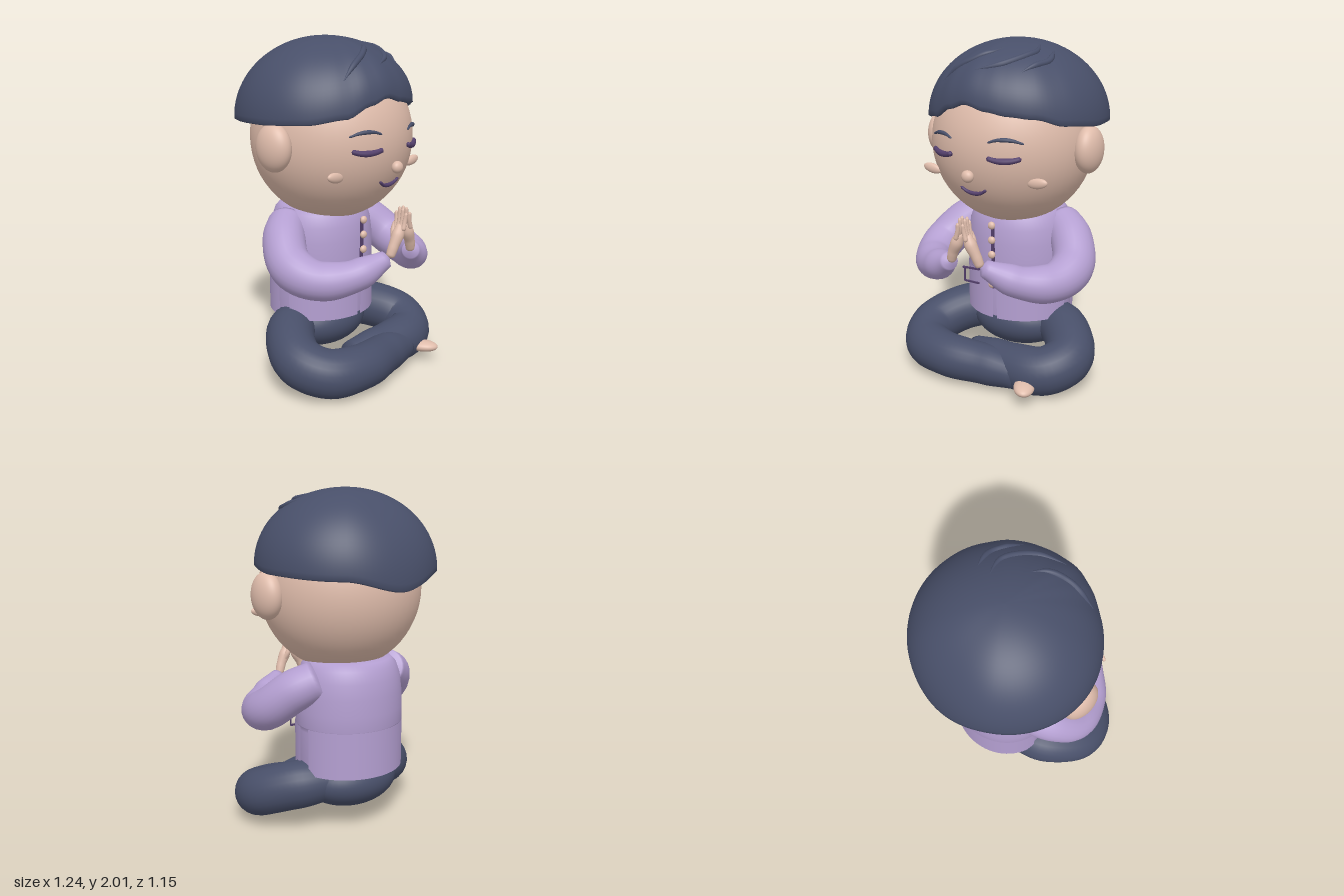
import * as THREE from 'three';
import { mergeVertices } from 'three/addons/utils/BufferGeometryUtils.js';

const mat = (name, color, side = THREE.FrontSide) => {
  const m = new THREE.MeshStandardMaterial({ color, side });
  m.name = name;
  return m;
};

// Piecewise smooth interpolation through [key, value] pairs
function ease(keys, k) {
  let i = 0;
  while (i < keys.length - 2 && k > keys[i + 1][0]) i++;
  const [a, va] = keys[i], [b, vb] = keys[i + 1];
  return THREE.MathUtils.lerp(va, vb, THREE.MathUtils.smoothstep(k, a, b));
}

// Rounded-end tube through points, radius following a list of values
function limb(points, radii, { segs = 48, sides = 24, cap = 0.05 } = {}) {
  const curve = new THREE.CatmullRomCurve3(points.map(p => new THREE.Vector3(...p)));
  const geo = new THREE.TubeGeometry(curve, segs, 1, sides);
  const keys = radii.map((r, i) => [i / (radii.length - 1), r]);
  const pos = geo.attributes.position, v = new THREE.Vector3();
  for (let i = 0; i <= segs; i++) {
    const t = i / segs, c = curve.getPointAt(t);
    const end = Math.min(1, Math.min(t, 1 - t) / cap);
    const r = ease(keys, t) * Math.max(0.01, Math.sqrt(1 - (1 - end) ** 2));
    for (let j = 0; j <= sides; j++) {
      const k = i * (sides + 1) + j;
      v.fromBufferAttribute(pos, k).sub(c).multiplyScalar(r).add(c);
      pos.setXYZ(k, v.x, v.y, v.z);
    }
  }
  geo.deleteAttribute('uv');
  geo.deleteAttribute('normal');
  const merged = mergeVertices(geo, 1e-5);
  merged.computeVertexNormals();
  return merged;
}

// Hair cap: each direction is a quarter ellipse from the crown to a wavy hairline
const HAIR_Z = -0.055, HAIR_TOP = 2;
const HAIRLINE = [[-180, 1.46], [-140, 1.53], [-90, 1.54], [-60, 1.55], [-35, 1.58], [-18, 1.645], [-5, 1.68],
  [10, 1.65], [24, 1.63], [40, 1.615], [60, 1.57], [90, 1.545], [140, 1.53], [180, 1.46]];
const hairRadius = a => 1 / Math.hypot(Math.sin(a) / 0.54, Math.cos(a) / (Math.cos(a) > 0 ? 0.51 : 0.52));
const hairRim = a => ease(HAIRLINE, THREE.MathUtils.radToDeg(a));

function hairHeight(x, z) {
  const a = Math.atan2(x, z - HAIR_Z), q = Math.hypot(x, z - HAIR_Z) / hairRadius(a);
  return HAIR_TOP - (HAIR_TOP - hairRim(a)) * (1 - Math.sqrt(1 - q * q));
}

function hairGeometry() {
  const cols = 96, rows = 24, pos = [], index = [];
  for (let i = 0; i <= rows + 2; i++) {
    for (let j = 0; j < cols; j++) {
      const a = -Math.PI + (j / cols) * 2 * Math.PI;
      const t = Math.min(i / rows, 1) * Math.PI / 2, rim = hairRim(a);
      const lip = Math.max(0, i - rows);
      const r = hairRadius(a) * Math.sin(t) * [1, 0.975, 0.8][lip];
      const y = rim + (HAIR_TOP - rim) * Math.cos(t) + [0, -0.008, 0.03][lip];
      pos.push(r * Math.sin(a), y, HAIR_Z + r * Math.cos(a));
      if (i < rows + 2) {
        const n = (j + 1) % cols, p = i * cols, q = p + cols;
        index.push(p + j, q + j, q + n, p + j, q + n, p + n);
      }
    }
  }
  const geo = new THREE.BufferGeometry();
  geo.setAttribute('position', new THREE.Float32BufferAttribute(pos, 3));
  geo.setIndex(index);
  geo.computeVertexNormals();
  return geo;
}

export function createModel() {
  const model = new THREE.Group();
  model.name = 'meditatingFigure';
  const skin = mat('skin', 0xdfbcab);
  const navy = mat('navy', 0x484f69, THREE.DoubleSide);
  const lilac = mat('lilac', 0xb49fd1, THREE.DoubleSide);
  const plum = mat('plum', 0x54406c);

  const add = (name, geo, material, p = [0, 0, 0], s = [1, 1, 1]) => {
    const m = new THREE.Mesh(geo, material);
    m.name = name;
    m.position.set(...p);
    m.scale.set(...s);
    model.add(m);
    return m;
  };
  const ball = new THREE.SphereGeometry(1, 48, 32);
  const box = new THREE.BoxGeometry(1, 1, 1);

  // Head and hair
  add('head', ball, skin, [0, 1.42, 0], [0.48, 0.49, 0.48]);
  add('nose', ball, skin, [0, 1.29, 0.488], [0.037, 0.035, 0.03]);
  add('hair', hairGeometry(), navy);
  const strands = [
    [[0.17, 0], [0.21, 0.13], [0.12, 0.29], [-0.03, 0.375]],
    [[0.26, 0], [0.295, 0.11], [0.27, 0.2], [0.22, 0.3]],
    [[0.05, 0.16], [0.0, 0.24], [-0.11, 0.3], [-0.27, 0.32]],
  ];
  for (const path of strands) {
    const flat = new THREE.SplineCurve(path.map(p => new THREE.Vector2(...p))).getPoints(10);
    add('hairStrand', limb(flat.map(p => [p.x, hairHeight(p.x, p.y) - 0.004, p.y]),
      [0.004, 0.018, 0.018, 0.004], { sides: 12 }), navy);
  }

  // Face lines follow the head surface
  const faceZ = (x, y) => 0.48 * Math.sqrt(1 - (x / 0.48) ** 2 - ((y - 1.42) / 0.49) ** 2) + 0.007;
  const faceLine = (name, pts, radii, m) =>
    add(name, limb(pts.map(([x, y]) => [x, y, faceZ(x, y)]), radii, { segs: 24, sides: 10 }), m);
  faceLine('mouth', [[-0.085, 1.212], [-0.045, 1.187], [0, 1.18], [0.045, 1.187], [0.085, 1.212]],
    [0.008, 0.012, 0.008], plum);

  for (const s of [1, -1]) {
    const mir = pts => pts.map(([x, ...rest]) => [x * s, ...rest]);
    faceLine('closedEye', mir([[0.112, 1.403], [0.155, 1.391], [0.2, 1.387], [0.245, 1.391], [0.285, 1.403]]),
      [0.014, 0.018, 0.014], plum);
    faceLine('eyebrow', mir([[0.115, 1.485], [0.16, 1.5], [0.21, 1.503], [0.25, 1.497], [0.295, 1.48]]),
      [0.006, 0.012, 0.006], navy);
    add('ear', ball, skin, [0.5 * s, 1.41, 0.02], [0.077, 0.136, 0.117]);
    add('cheek', ball, skin, [0.35 * s, 1.262, 0.335], [0.062, 0.029, 0.02]).rotation.z = 0.17 * s;

    // Sleeve
    add('sleeve', limb(mir([[0.24, 0.925, -0.13], [0.37, 0.85, -0.04], [0.45, 0.735, 0.09], [0.42, 0.68, 0.25],
      [0.29, 0.7, 0.4], [0.1, 0.795, 0.52]]), [0.115, 0.125, 0.125, 0.11, 0.09, 0.05], { cap: 0.03 }), lilac);

    // Hand pressed to its mirror at the centre
    add('palm', limb(mir([[0.1, 0.79, 0.52], [0.075, 0.86, 0.53], [0.045, 0.92, 0.535], [0.022, 0.98, 0.535]]),
      [0.026, 0.03, 0.036, 0.022], { segs: 24, sides: 16, cap: 0.1 }), skin);
    for (let i = 0; i < 4; i++) {
      const z = 0.506 + i * 0.019, top = [1.05, 1.075, 1.07, 1.045][i];
      add('finger', limb(mir([[0.036, 0.94, z], [0.02, 1.0, z], [0.016, top, z + (i - 1.5) * 0.004]]),
        [0.014, 0.013, 0.01], { segs: 16, sides: 10, cap: 0.12 }), skin);
    }
    add('thumb', limb(mir([[0.066, 0.88, 0.525], [0.04, 0.94, 0.5], [0.022, 0.99, 0.497]]),
      [0.018, 0.017, 0.011], { segs: 16, sides: 10, cap: 0.12 }), skin);

    // Pocket trim
    add('pocketTop', box, plum, [0.165 * s, 0.64, 0.225], [0.12, 0.011, 0.01]).rotation.z = -0.05 * s;
    add('pocketSide', box, plum, [0.22 * s, 0.592, 0.215], [0.007, 0.09, 0.01]);
    add('pocketBottom', box, plum, [0.168 * s, 0.548, 0.215], [0.105, 0.01, 0.01]);
  }

  // Jacket body
  const profile = [[0, 0.355], [0.9, 0.355], [0.965, 0.36], [0.965, 0.6], [0.97, 0.625], [1, 0.632], [1, 0.72],
    [0.99, 0.82], [0.955, 0.91], [0.88, 0.98], [0.78, 1.015], [0.5, 1.03], [0, 1.03]];
  add('jacketBody', new THREE.LatheGeometry(profile.map(p => new THREE.Vector2(...p)), 64), lilac,
    [0, 0, -0.085], [0.33, 1, 0.305]);
  // Skirt panels leave a front slit and two side slits
  const q = Math.PI / 2;
  for (const [a, b] of [[0.04, q - 0.13], [q + 0.13, 3 * q - 0.13], [3 * q + 0.13, 4 * q - 0.04]]) {
    add('jacketSkirt', new THREE.CylinderGeometry(1, 1, 0.28, 32, 1, true, a, b - a), lilac,
      [0, 0.49, -0.085], [0.332, 1, 0.307]);
  }
  add('placket', box, plum, [0, 0.75, 0.238], [0.016, 0.4, 0.014]);
  for (const y of [0.58, 0.67, 0.765, 0.855, 0.945]) add('button', ball, skin, [0, y, 0.252], [0.023, 0.023, 0.018]);

  // Crossed legs
  add('hips', ball, navy, [0, 0.265, -0.09], [0.31, 0.17, 0.25]);
  add('leftLeg', limb([[0.13, 0.29, -0.14], [0.36, 0.26, -0.01], [0.475, 0.19, 0.17], [0.39, 0.14, 0.305],
    [0.18, 0.13, 0.32], [-0.15, 0.12, 0.25]], [0.12, 0.145, 0.145, 0.14, 0.125, 0.09], { cap: 0.03 }), navy);
  add('rightLeg', limb([[-0.13, 0.29, -0.14], [-0.36, 0.26, -0.01], [-0.48, 0.19, 0.18], [-0.42, 0.145, 0.34],
    [-0.22, 0.14, 0.42], [0.06, 0.125, 0.385], [0.28, 0.11, 0.37]],
  [0.12, 0.145, 0.145, 0.14, 0.13, 0.12, 0.09], { cap: 0.03 }), navy);
  const foot = add('rightFoot', ball, skin, [0.345, 0.095, 0.46], [0.06, 0.035, 0.095]);
  foot.rotation.set(0, 0.45, -0.08);
  add('leftFoot', ball, skin, [-0.16, 0.11, 0.25], [0.06, 0.035, 0.045]);

  return model;
}
